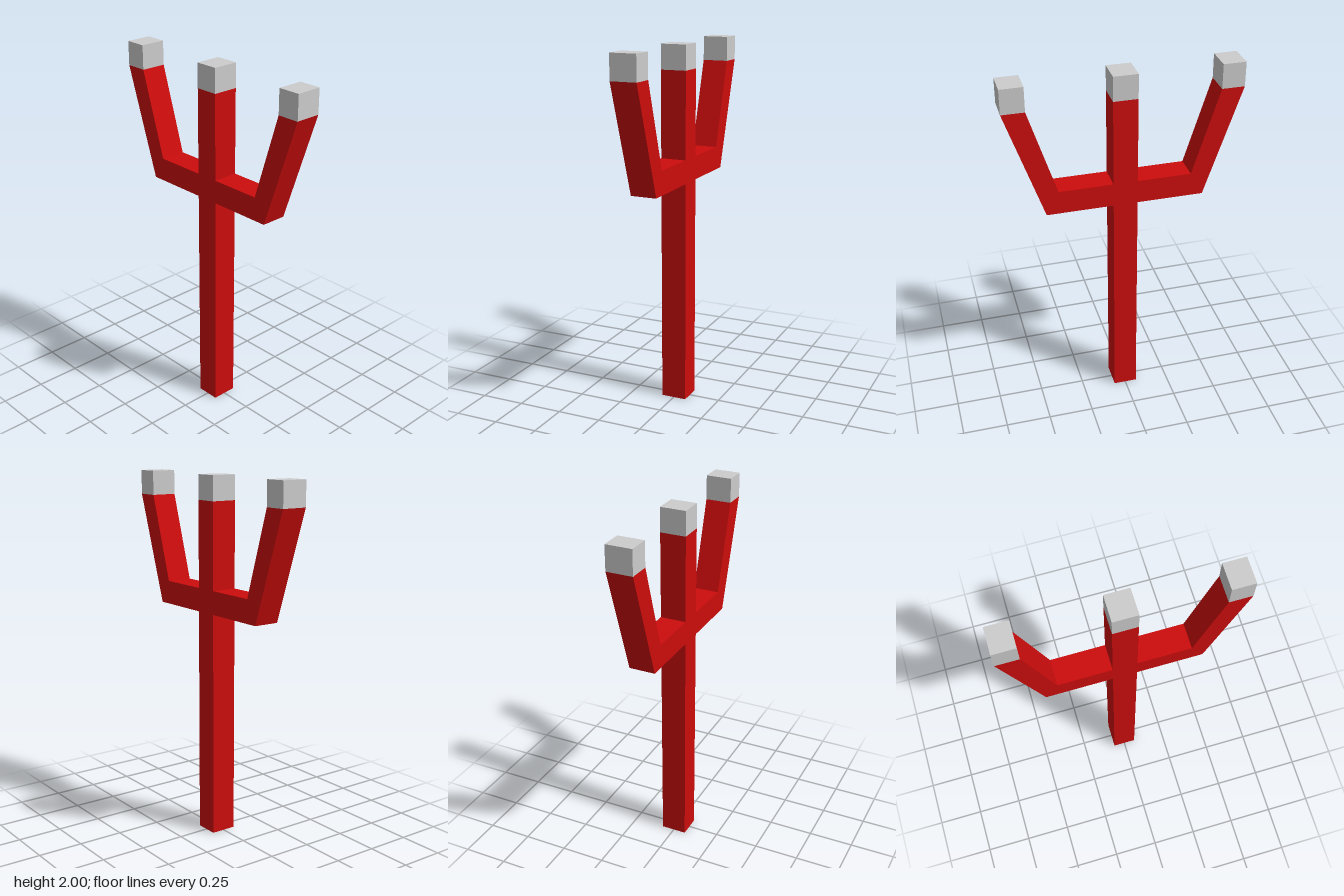
import * as THREE from 'three';

const DEPTH = 0.144;     // thickness along z
const HALF = 0.066;      // half width of the shaft
const TIP_BASE = 1.865;  // height where the pale tips begin
const TOP = 2;

export function createModel() {
  const red = new THREE.MeshStandardMaterial({ name: 'red', color: 0xcc0c0c });
  const paleGrey = new THREE.MeshStandardMaterial({ name: 'paleGrey', color: 0xcccccc });
  const model = new THREE.Group();
  model.name = 'trident';

  // Upright block spanning x0..x1 and y0..y1
  const addBlock = (name, x0, x1, y0, y1, material) => {
    const mesh = new THREE.Mesh(new THREE.BoxGeometry(x1 - x0, y1 - y0, DEPTH), material);
    mesh.position.set((x0 + x1) / 2, (y0 + y1) / 2, 0);
    mesh.name = name;
    model.add(mesh);
  };

  // Central shaft with its tip
  addBlock('shaft', -HALF, HALF, 0, TIP_BASE, red);
  addBlock('middleTip', -HALF, HALF, TIP_BASE, TOP, paleGrey);

  // Side prongs: half of the crossbar bending up into a slanted arm
  const profile = [
    [HALF, 1.26], [0.428, 1.26], [0.632, TIP_BASE],
    [0.509, TIP_BASE], [0.36, 1.39], [HALF, 1.39],
  ];
  for (const [side, s] of [['left', 1], ['right', -1]]) {
    const shape = new THREE.Shape(profile.map(([x, y]) => new THREE.Vector2(s * x, y)));
    const geometry = new THREE.ExtrudeGeometry(shape, { depth: DEPTH, bevelEnabled: false });
    geometry.translate(0, 0, -DEPTH / 2);
    const prong = new THREE.Mesh(geometry, red);
    prong.name = `${side}Prong`;
    model.add(prong);

    const xs = [s * 0.509, s * 0.632].sort((a, b) => a - b);
    addBlock(`${side}Tip`, xs[0], xs[1], TIP_BASE, TOP, paleGrey);
  }
  return model;
}
